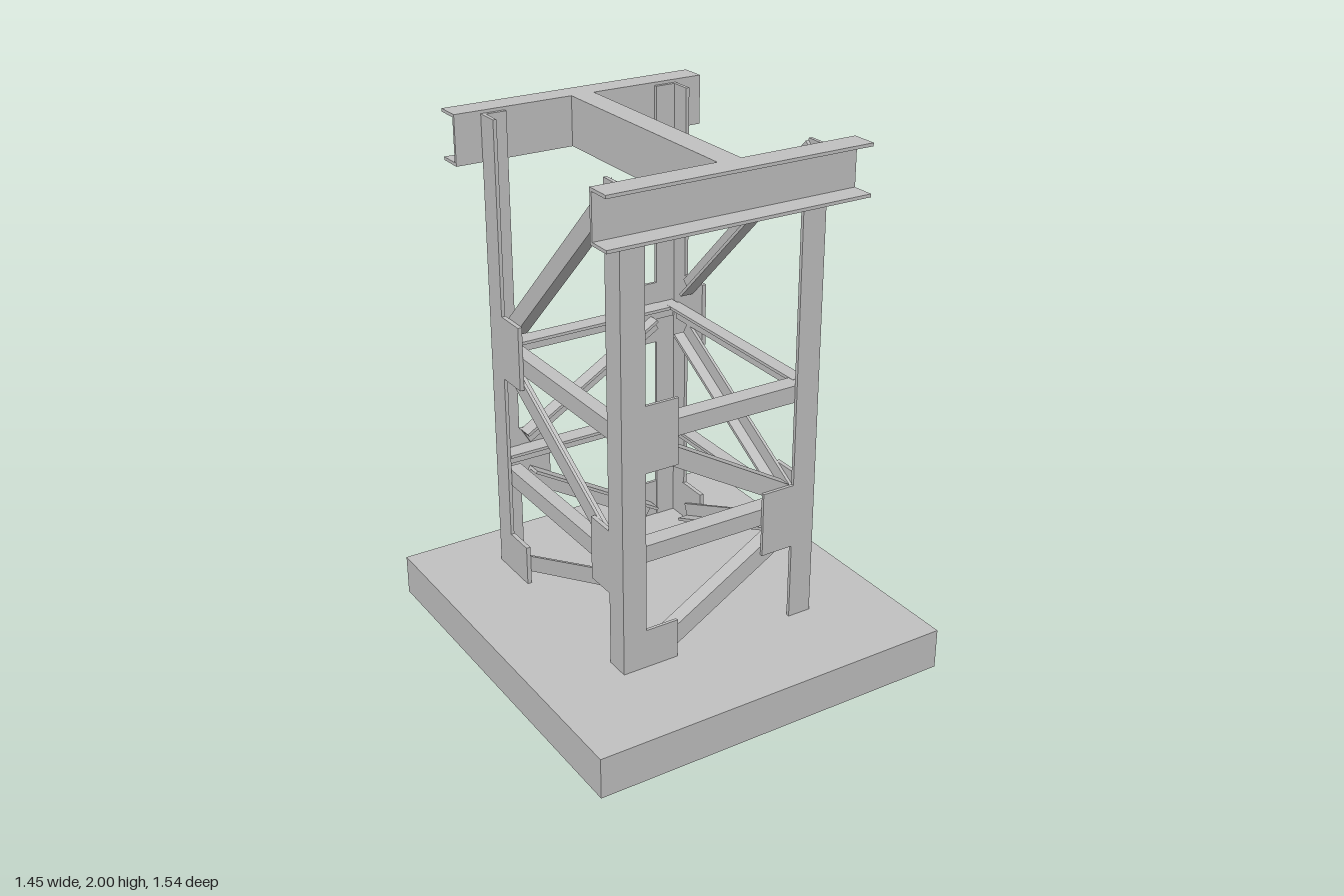
import * as THREE from 'three';

const steel = new THREE.MeshStandardMaterial({ color: 0xc0c0c0, side: THREE.DoubleSide });
steel.name = 'grey steel';

const T = 0.012;       // plate thickness
const LEG_X = 0.41;    // outer face of the legs in x
const HALF_Z = 0.4765; // half depth between leg faces
const MID_Z = -0.0795; // centre of the tower in z
const v = (x, y, z) => new THREE.Vector3(x, y, z);

// Sweep a section from a to b; section x runs along n x d, section y along n
function sweep(name, points, a, b, n) {
  const d = b.clone().sub(a);
  const length = d.length();
  d.normalize();
  const u = n.clone().cross(d);
  const shape = new THREE.Shape(points.map(p => new THREE.Vector2(p[0], p[1])));
  const geo = new THREE.ExtrudeGeometry(shape, { depth: length, bevelEnabled: false });
  geo.applyMatrix4(new THREE.Matrix4().makeBasis(u, n, d).setPosition(a));
  const mesh = new THREE.Mesh(geo, steel);
  mesh.name = name;
  return mesh;
}

// L section: plate of width w, with a flange along the edge lying toward "edge"
function angle(name, a, b, n, edge, w, flange, t = T) {
  const d = b.clone().sub(a).normalize();
  const s = Math.sign(n.clone().cross(d).dot(edge));
  const h = w / 2;
  const pts = [[-h, 0], [h, 0], [h, flange], [h - t, flange], [h - t, t], [-h, t]];
  return sweep(name, pts.map(p => [p[0] * s, p[1]]), a, b, n);
}

// C section with the web at n = 0 and both flanges pointing along n
function channel(name, a, b, n, height, flange) {
  const h = height / 2;
  return sweep(name, [[-h, 0], [h, 0], [h, flange], [h - T, flange], [h - T, T],
    [T - h, T], [T - h, flange], [-h, flange]], a, b, n);
}

function box(name, x0, x1, y0, y1, z0, z1) {
  const mesh = new THREE.Mesh(new THREE.BoxGeometry(x1 - x0, y1 - y0, z1 - z0), steel);
  mesh.position.set((x0 + x1) / 2, (y0 + y1) / 2, (z0 + z1) / 2);
  mesh.name = name;
  return mesh;
}

const UP = v(0, 1, 0), DOWN = v(0, -1, 0);

// Bracing across the front; the back is the same turned half round
function endPanel(name) {
  const g = new THREE.Group();
  g.name = name;
  const z = HALF_Z - T, n = v(0, 0, -1);
  for (const y of [0.62, 1.082])
    g.add(angle('endRail', v(-0.387, y, z), v(0.387, y, z), n, UP, 0.066, 0.07));
  g.add(angle('endDiagonal', v(-0.3, 1.037, z), v(0.29, 0.689, z), n, UP, 0.07, 0.06));
  g.add(angle('endDiagonal', v(-0.27, 0.191, z), v(0.29, 0.521, z), n, UP, 0.07, 0.06));
  g.add(box('gusset', -0.315, -0.183, 0.945, 1.2, z, HALF_Z));
  g.add(box('gusset', -0.315, -0.183, 0.16, 0.315, z, HALF_Z));
  g.add(box('gusset', 0.183, 0.315, 0.465, 0.72, z, HALF_Z));
  g.position.z = MID_Z;
  return g;
}

// Bracing along one side, s = +1 or -1
function sidePanel(name, s) {
  const g = new THREE.Group();
  g.name = name;
  const x = s * (LEG_X - 0.017), n = v(-s, 0, 0);
  for (const y of [0.563, 1.082])
    g.add(angle('sideRail', v(x, y, -0.5), v(x, y, 0.34), n, UP, 0.068, 0.056));
  g.add(angle('upperDiagonal', v(x, 1.958, 0.33), v(x, 1.207, -0.425), n, DOWN, 0.067, 0.056));
  g.add(angle('middleDiagonal', v(x, 0.605, 0.3), v(x, 1.028, -0.436), n, DOWN, 0.068, 0.056));
  g.add(angle('lowerDiagonal', v(x, 0.502, 0.3), v(x, 0.21, -0.42), n, DOWN, 0.062, 0.056));
  const xa = Math.min(x, s * LEG_X), xb = Math.max(x, s * LEG_X);
  for (const [y0, y1, z0, z1] of [[0.99, 1.242, -0.465, -0.333],
    [0.16, 0.32, -0.465, -0.333], [0.452, 0.705, 0.178, 0.306]])
    g.add(box('gusset', xa, xb, y0, y1, z0, z1));
  return g;
}

export function createModel() {
  const model = new THREE.Group();
  model.name = 'steelTower';

  // Base slab, hollow and open underneath
  const base = box('base', -0.727, 0.727, 0, 0.16, -0.772, 0.772);
  const index = Array.from(base.geometry.index.array);
  index.splice(18, 6);
  base.geometry.setIndex(index);
  base.geometry.clearGroups();
  model.add(base);

  // Four angle legs, corners outward
  for (const sx of [-1, 1]) for (const sz of [-1, 1]) {
    const x = sx * (LEG_X - 0.0475), z = MID_Z + sz * HALF_Z;
    model.add(angle('leg', v(x, 0.16, z), v(x, 1.988, z),
      v(0, 0, -sz), v(sx, 0, 0), 0.095, 0.095, 0.014));
  }

  // Bracing
  model.add(endPanel('frontBracing'));
  const back = endPanel('backBracing');
  back.rotation.y = Math.PI;
  model.add(back, sidePanel('leftBracing', 1), sidePanel('rightBracing', -1));

  // Top beams
  const y = 1.905, zf = MID_Z + HALF_Z, zb = MID_Z - HALF_Z;
  model.add(channel('frontBeam', v(-0.515, y, zf), v(0.52, y, zf), v(0, 0, 1), 0.19, 0.099));
  model.add(channel('backBeam', v(-0.515, y, zb), v(0.52, y, zb), v(0, 0, -1), 0.19, 0.099));
  model.add(channel('centreBeam', v(-0.041, y, zb), v(-0.041, y, zf), v(1, 0, 0), 0.19, 0.094));
  return model;
}
